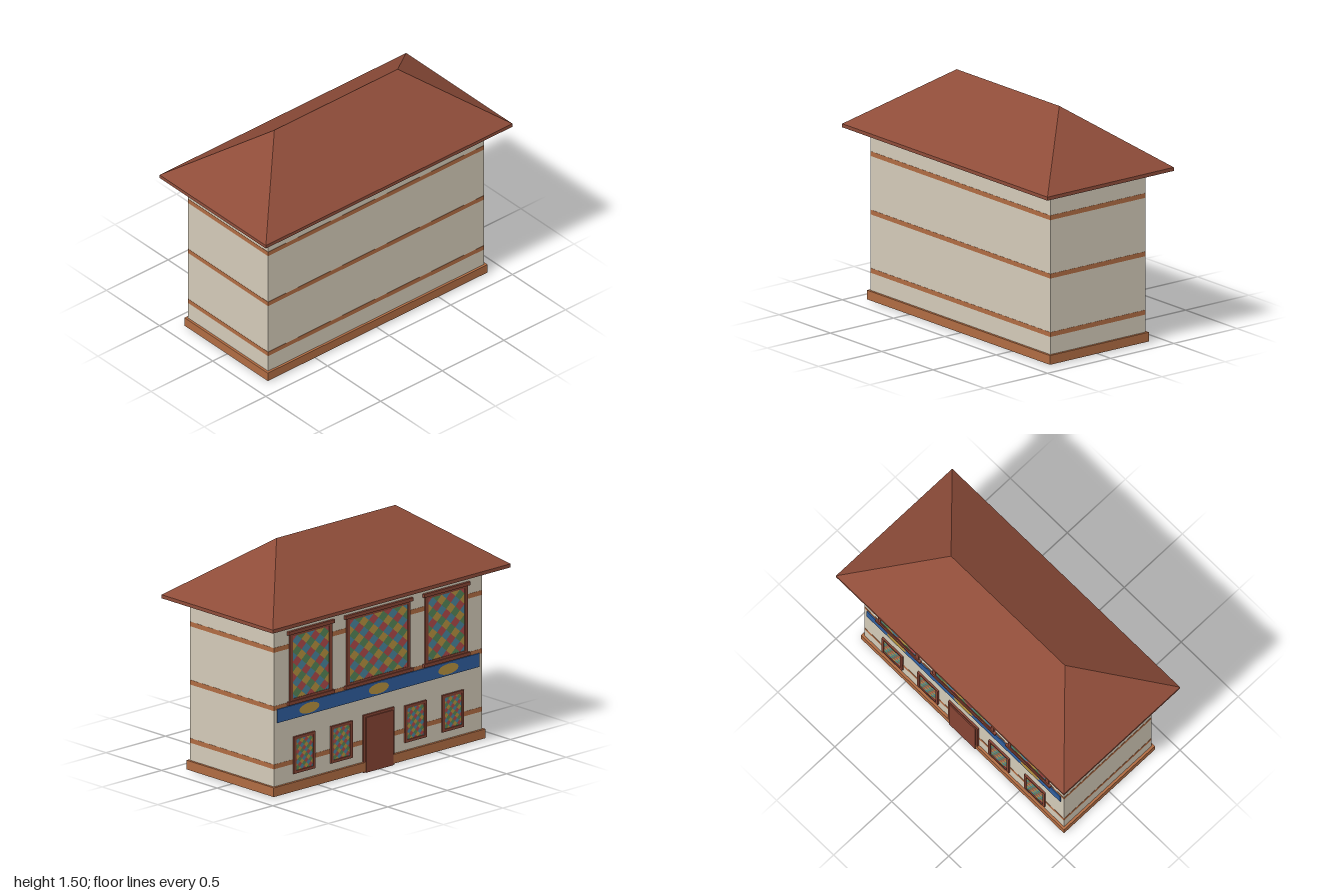
import * as THREE from 'three';

const mat = (name, color, double) => {
  const m = new THREE.MeshStandardMaterial({ color });
  m.name = name;
  if (double) m.side = THREE.DoubleSide;
  return m;
};

export function createModel() {
  const plaster = mat('plaster', 0xd3cab8);
  const roofTile = mat('roofTile', 0x8e4c39);
  const terracotta = mat('terracotta', 0xb06c43);
  const wood = mat('wood', 0x864434);
  const blue = mat('bluePaint', 0x2f5e9e);
  const gold = mat('goldGlass', 0xb8923f, true);
  const red = mat('redGlass', 0xb04a4a, true);
  const teal = mat('tealGlass', 0x4a869e, true);
  const green = mat('greenGlass', 0x568658, true);
  const glassColours = [teal, red, green, gold];

  const model = new THREE.Group();
  model.name = 'house';

  // Box given by its centre x, lower and upper y, and near and far z
  const box = (parent, name, material, x, w, y0, y1, z0, z1) => {
    const mesh = new THREE.Mesh(new THREE.BoxGeometry(w, y1 - y0, z1 - z0), material);
    mesh.position.set(x, (y0 + y1) / 2, (z0 + z1) / 2);
    mesh.name = name;
    parent.add(mesh);
    return mesh;
  };

  // Body, plinth and the three stringcourses
  box(model, 'walls', plaster, 0, 1.75, 0.02, 1.12, -0.376, 0.376);
  box(model, 'plinth', terracotta, 0, 1.782, 0.008, 0.067, -0.392, 0.392);
  for (const y of [0.195, 0.57, 0.945]) {
    box(model, 'wallBand', terracotta, 0, 1.753, y - 0.015, y + 0.015, -0.3775, 0.3775);
  }

  // Hipped roof: a box whose top is drawn in to a ridge
  box(model, 'eaves', roofTile, 0, 2, 1.108, 1.131, -0.5, 0.5);
  const hip = new THREE.BoxGeometry(2, 0.372, 1).toNonIndexed();
  const p = hip.attributes.position;
  for (let i = 0; i < p.count; i++) {
    if (p.getY(i) > 0) {
      p.setX(i, p.getX(i) * 0.5);
      p.setZ(i, 0);
    }
  }
  hip.computeVertexNormals();
  const roof = new THREE.Mesh(hip, roofTile);
  roof.name = 'hippedRoof';
  roof.position.y = 1.131 + 0.186;
  model.add(roof);

  // Decorated facade, built facing +z and turned to the back wall
  const facade = new THREE.Group();
  facade.name = 'facade';
  facade.rotation.y = Math.PI;
  facade.position.z = -0.376;
  model.add(facade);

  // Staggered diamond panes, cut off at the edge of the opening
  const addGlass = (parent, x, w, y0, y1, z, cols, rows) => {
    const dx = w / cols / 2, dy = (y1 - y0) / rows / 2;
    const corners = glassColours.map(() => []);
    const clampX = v => THREE.MathUtils.clamp(v, -w / 2, w / 2) + x;
    const clampY = v => THREE.MathUtils.clamp(v, y0, y1);
    for (let j = 0; j <= rows * 2; j++) {
      for (let i = j % 2; i <= cols * 2; i += 2) {
        const cx = -w / 2 + i * dx, cy = y0 + j * dy;
        const l = clampX(cx - dx), r = clampX(cx + dx);
        const b = clampY(cy - dy), t = clampY(cy + dy);
        const a = (i + j) / 2, c = (i - j) / 2 + 40;
        const k = (a % 2) * 2 + ((c + Math.floor(a / 2)) % 2);
        corners[k].push(l, cy, z, cx + x, b, z, r, cy, z, l, cy, z, r, cy, z, cx + x, t, z);
      }
    }
    corners.forEach((list, k) => {
      const g = new THREE.BufferGeometry();
      g.setAttribute('position', new THREE.Float32BufferAttribute(list, 3));
      const normals = list.map((_, n) => (n % 3 === 2 ? 1 : 0));
      g.setAttribute('normal', new THREE.Float32BufferAttribute(normals, 3));
      const mesh = new THREE.Mesh(g, glassColours[k]);
      mesh.name = 'glassPanes';
      parent.add(mesh);
    });
  };

  // Window: four frame bars around stained glass
  const addWindow = (name, x, w, y0, y1, bar, depth, cols, rows) => {
    const win = new THREE.Group();
    win.name = name;
    facade.add(win);
    for (const s of [-1, 1]) {
      box(win, 'frameSide', wood, x + s * (w - bar) / 2, bar, y0, y1, 0, depth);
    }
    box(win, 'frameTop', wood, x, w - 2 * bar, y1 - bar, y1, 0, depth);
    box(win, 'frameBottom', wood, x, w - 2 * bar, y0, y0 + bar, 0, depth);
    addGlass(win, x, w - 2 * bar, y0 + bar, y1 - bar, 0.006, cols, rows);
    return win;
  };

  // Three tall upper windows with caps and sills
  for (const [x, w, cols] of [[-0.57, 0.355, 4], [0, 0.535, 6], [0.57, 0.355, 4]]) {
    const win = addWindow('upperWindow', x, w, 0.58, 1.03, 0.024, 0.01, cols, 6);
    box(win, 'cap', wood, x, w + 0.035, 1.02, 1.042, 0, 0.017);
    box(win, 'sill', wood, x, w + 0.035, 0.568, 0.59, 0, 0.017);
  }

  // Four small lower windows
  for (const x of [-0.625, -0.312, 0.312, 0.625]) {
    addWindow('lowerWindow', x, 0.18, 0.118, 0.356, 0.018, 0.012, 4, 6);
  }

  // Blue frieze with gold ornaments
  box(facade, 'frieze', blue, 0, 1.7, 0.474, 0.561, 0, 0.008);
  for (const x of [-0.585, 0, 0.585]) {
    const disc = new THREE.Mesh(new THREE.CircleGeometry(1, 16), gold);
    disc.name = 'friezeOrnament';
    disc.scale.set(0.085, 0.034, 1);
    disc.position.set(x, 0.517, 0.0095);
    facade.add(disc);
  }

  // Door with its surround
  box(facade, 'doorSurround', wood, 0, 0.26, 0, 0.37, 0, 0.012);
  box(facade, 'doorPanel', wood, 0, 0.23, 0, 0.355, 0, 0.019);

  return model;
}
